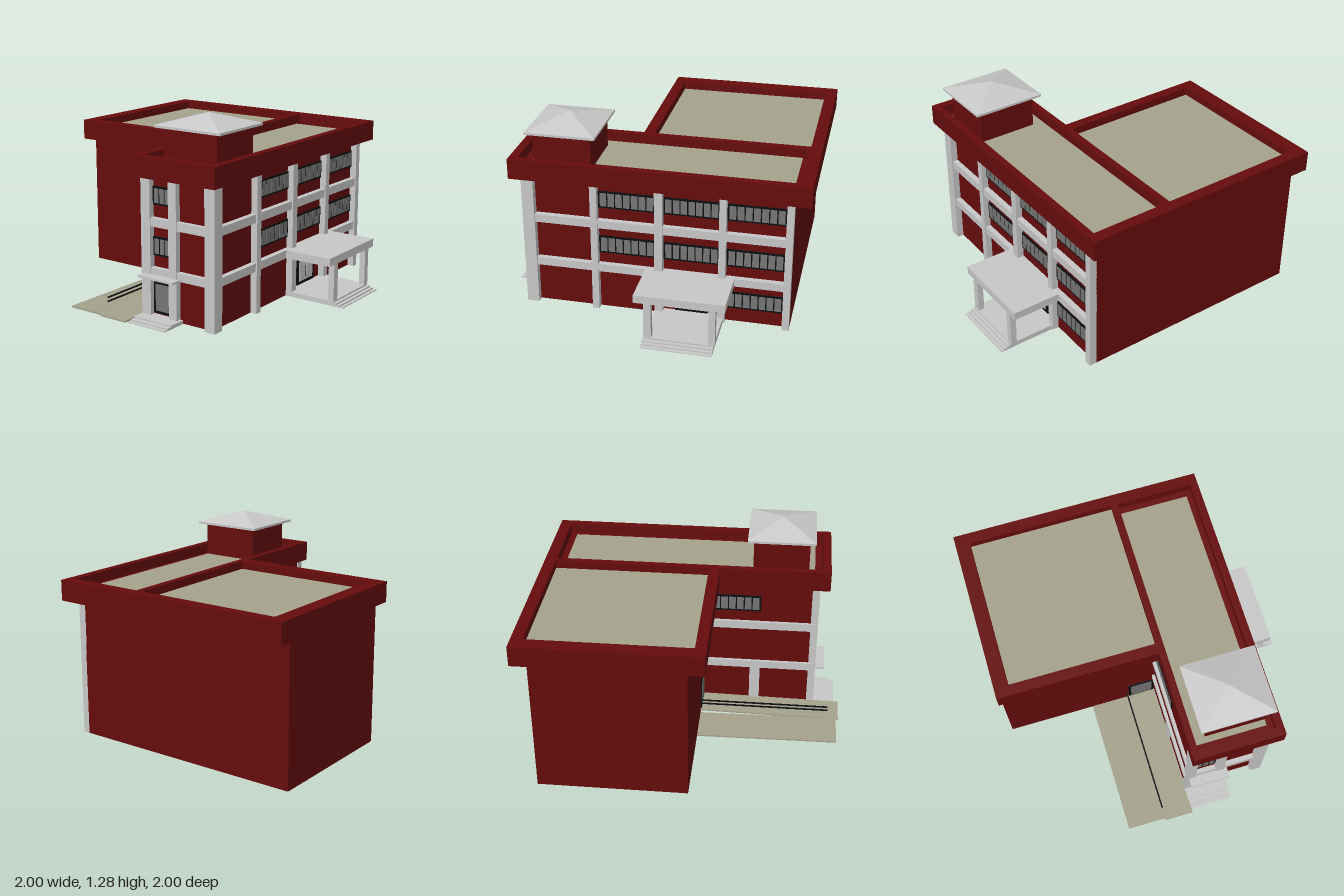
import * as THREE from 'three';

const mat = (name, color, side = THREE.FrontSide) => {
  const m = new THREE.MeshStandardMaterial({ color, side });
  m.name = name;
  return m;
};

export function createModel() {
  const red = mat('red wall', 0x660c0c);
  const light = mat('light concrete', 0xc8c8c8);
  const tan = mat('tan roofing', 0xa5a28c);
  const glass = mat('grey glass', 0x757575);
  const black = mat('black frame', 0x0c0f0f);

  const model = new THREE.Group();
  model.name = 'building';

  // Box given by its limits on each axis
  const box = (name, m, x0, x1, y0, y1, z0, z1, parent = model) => {
    const mesh = new THREE.Mesh(new THREE.BoxGeometry(x1 - x0, y1 - y0, z1 - z0), m);
    mesh.position.set((x0 + x1) / 2, (y0 + y1) / 2, (z0 + z1) / 2);
    mesh.name = name;
    parent.add(mesh);
    return mesh;
  };

  // Framed row of panes: w wide, from y0 to y1, centred on local x, facing local +z
  const glazing = (name, w, y0, y1, panes, paneMat, x, z, turn = 0, edge = 0.012, gap = 0.008) => {
    const g = new THREE.Group();
    g.name = name;
    box('frame', black, -w / 2, w / 2, y0, y1, -0.002, 0.007, g);
    const pw = (w - 2 * edge - gap * (panes - 1)) / panes;
    for (let i = 0; i < panes; i++) {
      const a = -w / 2 + edge + i * (pw + gap);
      box('pane', paneMat, a, a + pw, y0 + edge, y1 - edge, 0.004, 0.01, g);
    }
    g.position.set(x, 0, z);
    g.rotation.y = turn;
    model.add(g);
  };

  // Main masses
  box('frontWing', red, -0.79, 0.895, 0.005, 0.91, 0.07, 0.57);
  box('rearWing', red, -0.06, 0.895, 0.005, 0.91, -0.985, 0.07);

  // Roof with overhang, raised parapet and tan deck
  const parapet = (name, x0, x1, z0, z1, hx0, hx1, hz0, hz1, deckY) => {
    const g = new THREE.Group();
    g.name = name;
    box('roofSlab', red, x0, x1, 0.905, deckY - 0.005, z0, z1, g);
    const shape = new THREE.Shape([[x0, -z1], [x1, -z1], [x1, -z0], [x0, -z0]].map(p => new THREE.Vector2(...p)));
    shape.holes.push(new THREE.Path([[hx0, -hz1], [hx0, -hz0], [hx1, -hz0], [hx1, -hz1]].map(p => new THREE.Vector2(...p))));
    const rim = new THREE.Mesh(new THREE.ExtrudeGeometry(shape, { depth: 1.038 - deckY + 0.005, bevelEnabled: false }), red);
    rim.rotation.x = -Math.PI / 2;
    rim.position.y = deckY - 0.005;
    rim.name = 'parapetRim';
    g.add(rim);
    model.add(g);
  };
  parapet('frontRoof', -0.895, 1.0, 0.06, 0.66, -0.84, 0.925, 0.105, 0.61, 0.975);
  box('frontDeck', tan, -0.79, 0.88, 0.968, 0.976, 0.106, 0.572);
  parapet('rearRoof', -0.165, 1.0, -1.0, 0.06, -0.095, 0.925, -0.905, 0.0599, 0.985);
  box('rearDeck', tan, -0.095, 0.925, 0.978, 0.986, -0.905, 0.06);

  // Roof tower with a low pyramid roof
  box('tower', red, -0.75, -0.38, 0.97, 1.196, 0.18, 0.575);
  box('towerEaves', light, -0.787, -0.34, 1.195, 1.21, 0.135, 0.62);
  const pyramid = new THREE.ConeGeometry(Math.SQRT1_2, 1, 4, 1).toNonIndexed();
  pyramid.rotateY(Math.PI / 4);
  pyramid.scale(0.447, 0.073, 0.485);
  pyramid.computeVertexNormals();
  const cap = new THREE.Mesh(pyramid, light);
  cap.position.set(-0.5635, 1.2465, 0.3775);
  cap.name = 'towerRoof';
  model.add(cap);

  // Front columns
  for (const [a, b] of [[-0.83, -0.752], [-0.385, -0.34], [0.028, 0.08], [0.437, 0.482], [0.85, 0.895]])
    box('frontColumn', light, a, b, 0.005, 0.91, 0.565, 0.615);

  // Floor bands around front, left and back of the front wing
  for (const [a, b] of [[0.28, 0.333], [0.592, 0.647]]) {
    box('frontBand', light, -0.8, 0.87, a, b, 0.565, 0.607);
    box('sideBand', light, -0.822, -0.785, a, b, 0.08, 0.59);
    box('backBand', light, -0.81, -0.06, a, b, 0.05, 0.075);
  }

  // Left side and back columns
  for (const [a, b] of [[0.06, 0.13], [0.27, 0.33], [0.54, 0.614]])
    box('sideColumn', light, -0.829, -0.78, 0.005, 0.91, a, b);
  box('backColumn', light, -0.45, -0.38, 0.005, 0.285, 0.055, 0.075);

  // Front windows: three bays
  for (const [i, x] of [-0.156, 0.2585, 0.666].entries()) {
    const w = i < 1 ? 0.367 : i < 2 ? 0.357 : 0.367;
    glazing('upperWindow', w, 0.725, 0.84, 7, glass, x, 0.571);
    glazing('middleWindow', w, 0.405, 0.525, 7, glass, x, 0.571);
  }
  glazing('lowerWindow', 0.367, 0.103, 0.22, 7, glass, 0.666, 0.571);

  // Windows and doors on the left side and in the rear corner
  const left = -Math.PI / 2;
  glazing('sideUpperWindow', 0.14, 0.725, 0.84, 3, glass, -0.791, 0.2, left);
  glazing('sideMiddleWindow', 0.14, 0.405, 0.525, 3, glass, -0.791, 0.2, left);
  glazing('sideDoor', 0.14, 0.035, 0.24, 1, glass, -0.791, 0.2, left, 0.016);
  glazing('cornerSideWindow', 0.34, 0.725, 0.84, 6, glass, -0.061, -0.1, left);
  glazing('cornerBackWindow', 0.385, 0.725, 0.84, 7, glass, -0.2525, 0.069, Math.PI);
  glazing('rampDoor', 0.18, 0.035, 0.24, 1, glass, -0.061, -0.03, left, 0.016);

  // Front entrance: door, porch, posts and steps
  glazing('frontDoor', 0.21, 0.038, 0.248, 2, light, 0.26, 0.571, 0, 0.022, 0.008);
  box('porchRoof', light, -0.033, 0.54, 0.28, 0.333, 0.57, 0.93);
  for (const [a, b] of [[0.03, 0.078], [0.437, 0.48]])
    box('porchPost', light, a, b, 0.03, 0.285, 0.887, 0.927);
  box('porchFloor', light, 0.025, 0.473, 0.004, 0.037, 0.57, 0.93);
  for (let i = 0; i < 3; i++)
    box('porchStep', light, 0.025, 0.473, 0.003, 0.027 - i * 0.009, 0.9, 0.953 + i * 0.0235);

  // Left entrance: canopy and steps
  box('sideCanopy', light, -0.892, -0.78, 0.277, 0.291, 0.08, 0.35);
  box('sideLanding', light, -0.91, -0.78, 0.003, 0.027, 0.06, 0.35);
  box('sideStep', light, -0.945, -0.78, 0.003, 0.018, 0.06, 0.35);
  box('sideLowStep', light, -0.972, -0.78, 0.003, 0.009, 0.06, 0.35);

  // Two-lane ramp: each lane is a sloping slab between the given heights
  const lane = (name, x0, y0, x1, y1, z0, z1) => {
    const t = 0.01;
    const s = new THREE.Shape([[x0, y0 - t], [x1, y1 - t], [x1, y1], [x0, y0]].map(p => new THREE.Vector2(...p)));
    const mesh = new THREE.Mesh(new THREE.ExtrudeGeometry(s, { depth: z1 - z0, bevelEnabled: false }), tan);
    mesh.position.z = z0;
    mesh.name = name;
    model.add(mesh);
  };
  lane('outerRamp', -0.985, 0.022, -0.06, 0.01, -0.39, -0.135);
  lane('innerRamp', -1.0, 0.022, -0.06, 0.036, -0.135, 0.065);

  // Handrails between the lanes
  for (const y of [0.087, 0.113])
    box('handrail', black, -0.925, -0.06, y - 0.004, y + 0.004, -0.139, -0.131);

  return model;
}
